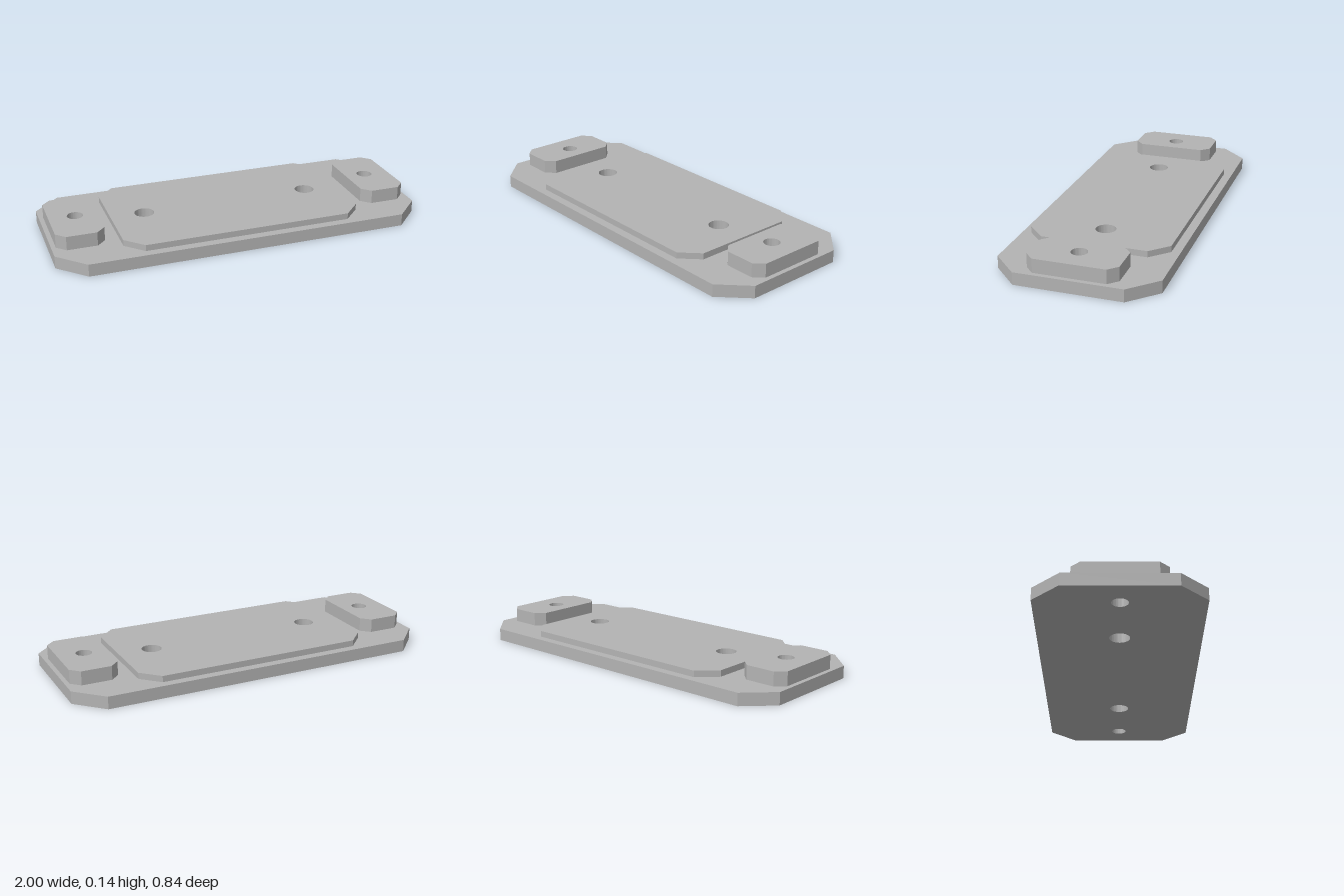
import * as THREE from 'three';
import { toCreasedNormals } from 'three/addons/utils/BufferGeometryUtils.js';

// Chamfered rectangular slab with round through-holes, lying flat from y0 to y1.
// holes: list of [x, radius], all on the z = 0 line.
function chamferedSlab(name, material, x0, x1, halfDepth, chamfer, y0, y1, holes) {
  const d = halfDepth, c = chamfer;
  const shape = new THREE.Shape([
    [x0 + c, -d], [x1 - c, -d], [x1, -d + c], [x1, d - c],
    [x1 - c, d], [x0 + c, d], [x0, d - c], [x0, -d + c],
  ].map(([x, y]) => new THREE.Vector2(x, y)));
  for (const [x, r] of holes) {
    shape.holes.push(new THREE.Path().absarc(x, 0, r, 0, Math.PI * 2, true));
  }
  let geometry = new THREE.ExtrudeGeometry(shape, { depth: y1 - y0, bevelEnabled: false, curveSegments: 24 });
  geometry.rotateX(-Math.PI / 2);
  geometry.translate(0, y0, 0);
  geometry = toCreasedNormals(geometry, Math.PI / 6);
  const mesh = new THREE.Mesh(geometry, material);
  mesh.name = name;
  return mesh;
}

export function createModel() {
  const group = new THREE.Group();
  group.name = 'mountingPlate';
  const grey = new THREE.MeshStandardMaterial({ color: 0xb3b3b3 });
  grey.name = 'plain grey';

  const baseTop = 0.066;
  const innerHoles = [[-0.465, 0.053], [0.465, 0.053]];
  const outerHoles = [[-0.837, 0.042], [0.837, 0.042]];

  // Base plate with all four holes
  group.add(chamferedSlab('basePlate', grey, -1, 1, 0.418, 0.14, 0, baseTop, [...innerHoles, ...outerHoles]));

  // Raised central panel
  group.add(chamferedSlab('centrePanel', grey, -0.65, 0.65, 0.372, 0.093, baseTop, 0.099, innerHoles));

  // Taller end pads, one hole each
  group.add(chamferedSlab('rightPad', grey, -0.976, -0.723, 0.232, 0.047, baseTop, 0.14, [outerHoles[0]]));
  group.add(chamferedSlab('leftPad', grey, 0.723, 0.976, 0.232, 0.047, baseTop, 0.14, [outerHoles[1]]));

  return group;
}
